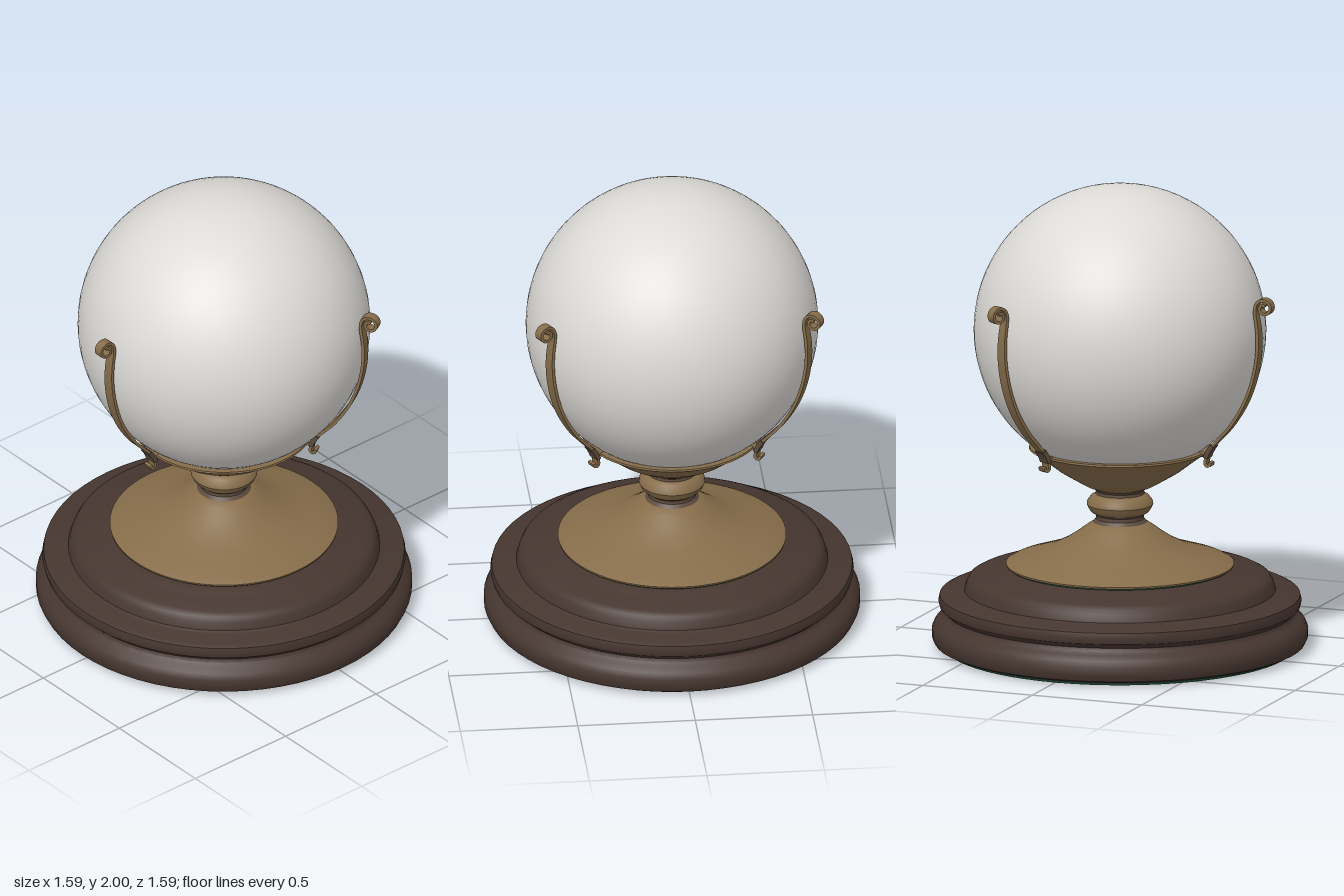
import * as THREE from 'three';
import { toCreasedNormals } from 'three/addons/utils/BufferGeometryUtils.js';

const mat = (name, color) => {
  const m = new THREE.MeshStandardMaterial({ color });
  m.name = name;
  return m;
};

// Turned part from [radius, y] pairs listed bottom to top
function turned(name, points, material) {
  const geo = new THREE.LatheGeometry(points.map(([r, y]) => new THREE.Vector2(r, y)), 64);
  const mesh = new THREE.Mesh(toCreasedNormals(geo, 0.6), material);
  mesh.name = name;
  return mesh;
}

// Flat strip swept along a curve in the xy plane; width(t) runs along z
function strip(name, curve, from, to, steps, width, thick, material) {
  const pos = [], index = [];
  for (let i = 0; i <= steps; i++) {
    const t = from + (to - from) * i / steps;
    const p = curve.getPointAt(t), d = curve.getTangentAt(t);
    const w = width(t) / 2, h = thick / 2;
    for (const [a, b] of [[h, w], [h, -w], [-h, -w], [-h, w]]) {
      pos.push(p.x + d.y * a, p.y - d.x * a, b);
    }
    if (i < steps) {
      for (let k = 0; k < 4; k++) {
        const a0 = i * 4 + k, b0 = i * 4 + (k + 1) % 4;
        index.push(a0, b0, b0 + 4, a0, b0 + 4, a0 + 4);
      }
    }
  }
  const e = steps * 4;
  index.push(0, 2, 1, 0, 3, 2, e, e + 1, e + 2, e, e + 2, e + 3);
  const geo = new THREE.BufferGeometry();
  geo.setAttribute('position', new THREE.Float32BufferAttribute(pos, 3));
  geo.setIndex(index);
  const mesh = new THREE.Mesh(toCreasedNormals(geo, 0.8), material);
  mesh.name = name;
  return mesh;
}

export function createModel() {
  const glass = mat('pale glass', 0xdddbd7);
  const brass = mat('aged brass', 0x866d4a);
  const wood = mat('dark wood', 0x463630);
  const dark = mat('dark bronze', 0x5c4a3e);
  const felt = mat('green felt', 0x16382a);
  const model = new THREE.Group();
  model.name = 'crystalBallOnStand';

  // Base
  model.add(turned('feltPad', [[0, 0], [0.74, 0], [0.74, 0.02]], felt));
  model.add(turned('woodenBase', [
    [0, 0.015], [0.765, 0.015], [0.785, 0.025], [0.797, 0.05], [0.797, 0.085], [0.785, 0.112],
    [0.762, 0.132], [0.745, 0.145], [0.74, 0.16], [0.75, 0.17], [0.764, 0.182], [0.77, 0.205],
    [0.764, 0.23], [0.745, 0.239], [0.675, 0.244], [0.66, 0.252], [0.65, 0.285], [0.638, 0.305],
    [0.615, 0.317], [0.55, 0.33], [0.515, 0.342], [0.49, 0.352], [0, 0.352]], wood));
  model.add(turned('feltRing', [[0.47, 0.35], [0.474, 0.35], [0.474, 0.362], [0.44, 0.362]], felt));

  // Brass pedestal and cup
  model.add(turned('pedestalFoot', [
    [0.44, 0.358], [0.482, 0.358], [0.484, 0.366], [0.46, 0.378], [0.39, 0.4], [0.3, 0.43],
    [0.235, 0.462], [0.185, 0.495], [0.145, 0.525], [0.115, 0.545], [0, 0.545]], brass));
  model.add(turned('lowerNeckBand', [
    [0.1, 0.54], [0.114, 0.545], [0.102, 0.56], [0.102, 0.575], [0.114, 0.588], [0, 0.588]], dark));
  model.add(turned('neckBulb', [
    [0.1, 0.583], [0.117, 0.586], [0.132, 0.602], [0.141, 0.622], [0.138, 0.638],
    [0.122, 0.658], [0.105, 0.668], [0, 0.668]], brass));
  model.add(turned('upperNeckBand', [
    [0.09, 0.66], [0.104, 0.667], [0.102, 0.68], [0.11, 0.692], [0, 0.694]], dark));
  model.add(turned('cup', [
    [0, 0.688], [0.108, 0.69], [0.145, 0.705], [0.2, 0.737], [0.262, 0.775], [0.32, 0.82],
    [0.365, 0.853], [0.386, 0.866], [0.384, 0.874], [0.35, 0.874], [0.3, 0.83]], brass));

  // Globe
  const globe = new THREE.Mesh(new THREE.SphereGeometry(0.62, 64, 48), glass);
  globe.name = 'globe';
  globe.position.y = 1.38;
  model.add(globe);

  // Three scrolled arms hugging the globe
  const path = [[0.418, 0.838], [0.412, 0.822], [0.397, 0.826], [0.4, 0.86], [0.42, 0.9],
    [0.464, 0.95], [0.508, 1], [0.57, 1.1], [0.609, 1.2], [0.63, 1.3], [0.635, 1.38],
    [0.631, 1.44], [0.622, 1.5]];
  // outward spiral at the tip
  for (let i = 0; i <= 16; i++) {
    const a = Math.PI - i * 0.52, r = 0.04 - i * 0.0017;
    path.push([0.662 + r * Math.cos(a), 1.527 + r * Math.sin(a)]);
  }
  const curve = new THREE.CatmullRomCurve3(path.map(([x, y]) => new THREE.Vector3(x, y, 0)), false, 'centripetal');
  curve.arcLengthDivisions = 800;
  const width = t => 0.04 + 0.013 * Math.sin(Math.PI * Math.min(1, t / 0.78));
  for (const angle of [Math.PI, Math.PI / 3, -Math.PI / 3]) {
    const arm = new THREE.Group();
    arm.name = 'arm';
    arm.add(strip('armStrip', curve, 0, 1, 140, width, 0.013, brass));
    arm.add(strip('armCollar', curve, 0.065, 0.125, 8, () => 0.057, 0.02, dark));
    const rivet = new THREE.Mesh(new THREE.CylinderGeometry(0.012, 0.012, 0.04, 12), brass);
    rivet.name = 'armRivet';
    rivet.rotation.z = Math.PI / 2;
    rivet.position.set(0.386, 0.867, 0);
    arm.add(rivet);
    arm.rotation.y = angle;
    model.add(arm);
  }
  return model;
}
